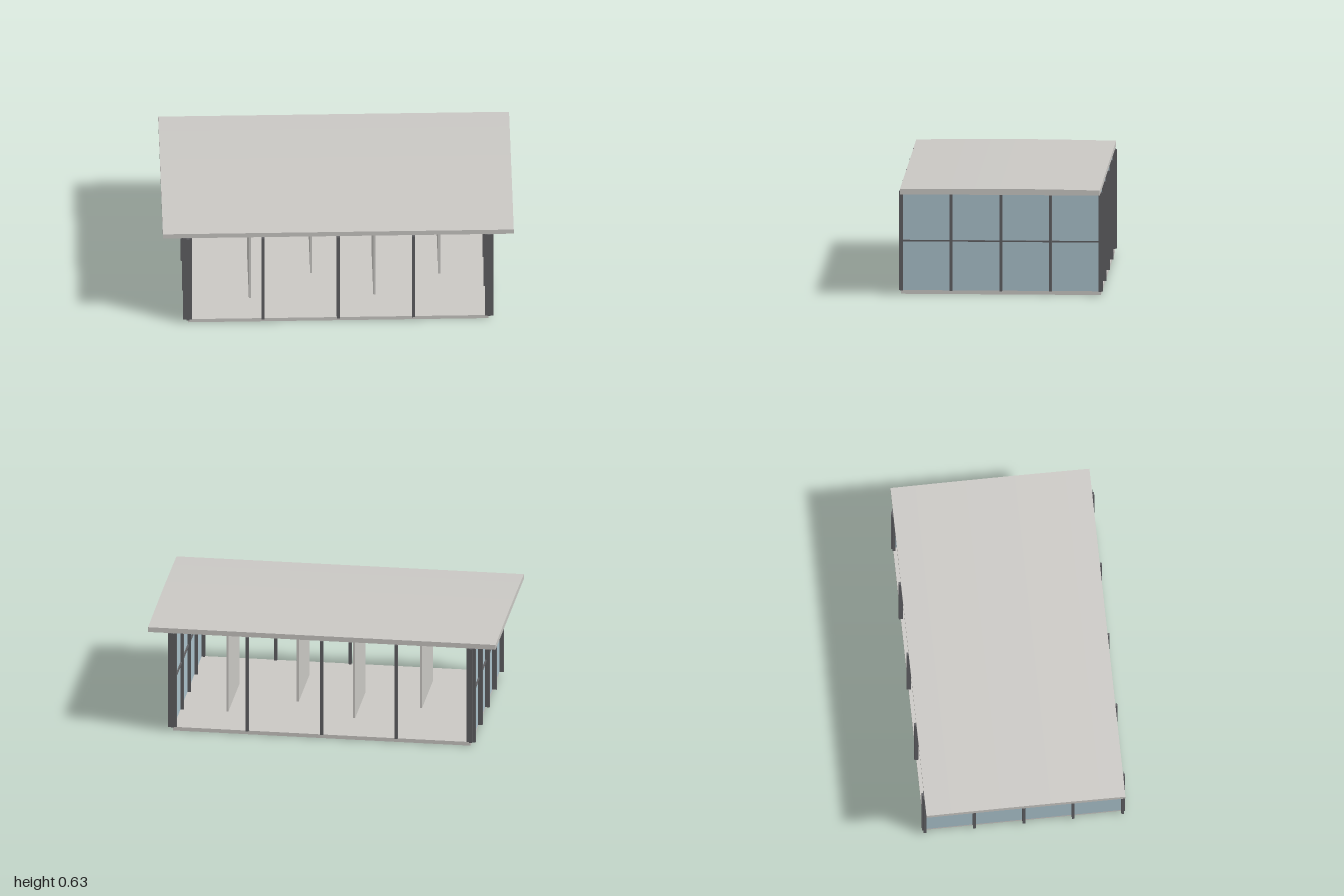
import * as THREE from 'three';

const FLOOR_TOP = 0.022;
const ROOF_BASE = 0.593;
const WALL_H = ROOF_BASE - FLOOR_TOP;
const MID_Y = (ROOF_BASE + FLOOR_TOP) / 2;
const SIDE_X = 0.857;
const HALF_Z = 0.57;

export function createModel() {
  const model = new THREE.Group();
  model.name = 'pavilion';

  const mat = (name, color) => {
    const m = new THREE.MeshStandardMaterial({ color });
    m.name = name;
    return m;
  };
  const concrete = mat('pale concrete', 0xc9c7c3);
  const steel = mat('dark steel', 0x5f5f62);
  const glass = mat('blue glass', 0xa9c0ca);

  const box = (name, material, size, pos) => {
    const mesh = new THREE.Mesh(new THREE.BoxGeometry(...size), material);
    mesh.name = name;
    mesh.position.set(...pos);
    model.add(mesh);
    return mesh;
  };

  // Floor slab
  box('floorSlab', concrete, [SIDE_X * 2, FLOOR_TOP, HALF_Z * 2], [0, FLOOR_TOP / 2, 0]);

  // Roof slab with a very slight crown across its depth
  const profile = new THREE.Shape();
  profile.moveTo(-HALF_Z, ROOF_BASE);
  profile.lineTo(HALF_Z, ROOF_BASE);
  for (let i = 8; i >= 0; i--) {
    const t = i / 4 - 1;
    profile.lineTo(t * HALF_Z, 0.628 - 0.006 * t * t);
  }
  profile.closePath();
  const roofGeo = new THREE.ExtrudeGeometry(profile, { depth: 2, bevelEnabled: false });
  roofGeo.translate(0, 0, -1);
  roofGeo.rotateY(Math.PI / 2);
  const roof = new THREE.Mesh(roofGeo, concrete);
  roof.name = 'roofSlab';
  model.add(roof);

  // Posts along the open front and back
  for (const side of [1, -1]) {
    for (let i = -2; i <= 2; i++) {
      box(side > 0 ? 'frontPost' : 'backPost', steel,
        [0.018, WALL_H, 0.024], [i * 0.429, MID_Y, side * 0.57]);
    }
  }

  // Glazed end walls: pane, upright mullions and a middle rail
  for (const side of [1, -1]) {
    const label = side > 0 ? 'left' : 'right';
    box(label + 'Glass', glass, [0.006, WALL_H, 1.13], [side * SIDE_X, MID_Y, 0]);
    box(label + 'Rail', steel, [0.024, 0.008, 1.13], [side * SIDE_X, MID_Y, 0]);
    for (let i = -2; i <= 2; i++) {
      box(label + 'Mullion', steel,
        [0.05, WALL_H, 0.016], [side * 0.86, MID_Y, i * 0.283]);
    }
  }

  // Staggered inner partitions: x, back z, front z
  const partitions = [
    [-0.5, -0.07, 0.375],
    [-0.145, -0.285, 0.14],
    [0.21, -0.07, 0.355],
    [0.585, -0.282, 0.16],
  ];
  for (const [x, z0, z1] of partitions) {
    box('partition', concrete, [0.012, WALL_H, z1 - z0], [x, MID_Y, (z0 + z1) / 2]);
  }

  return model;
}
